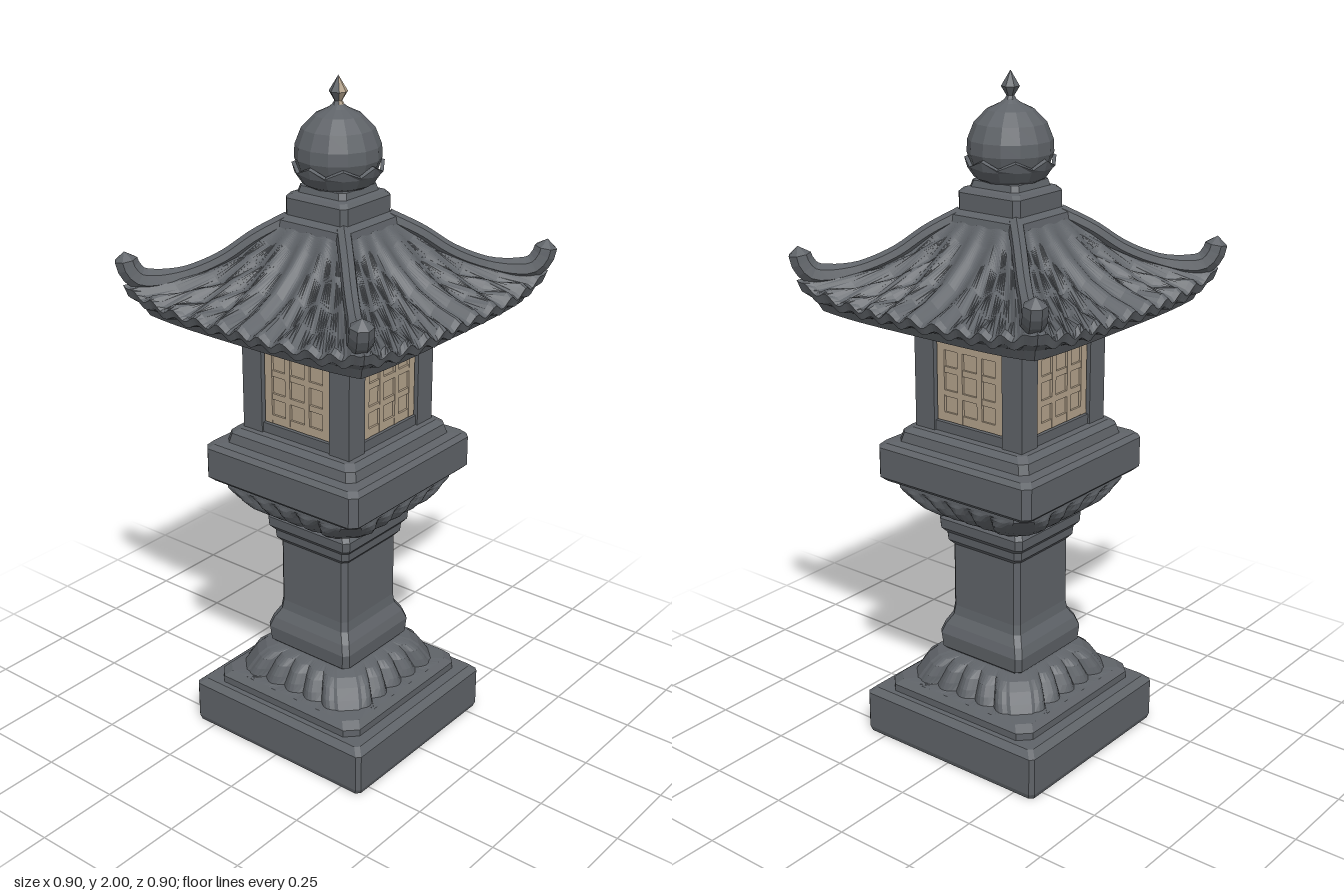
import * as THREE from 'three';

const stone = new THREE.MeshStandardMaterial({ color: 0x5f6368 });
stone.name = 'grey stone';
const paper = new THREE.MeshStandardMaterial({ color: 0xb3a28b });
paper.name = 'tan window';

// Faceted mesh with one normal per face
function part(name, geometry, material = stone) {
  const g = geometry.index ? geometry.toNonIndexed() : geometry;
  g.computeVertexNormals();
  const mesh = new THREE.Mesh(g, material);
  mesh.name = name;
  return mesh;
}

function box(name, w, h, d, x, y, z, material) {
  const mesh = part(name, new THREE.BoxGeometry(w, h, d), material);
  mesh.position.set(x, y, z);
  return mesh;
}

// Square loft. Each row: [half width, y, outward ripple, upward ripple, corner lift]
function squareLoft(rows, { chamfer = 0.012, segs = 1, wave = () => 0, zScale = 1 } = {}) {
  const pos = [], index = [], ring = 4 * (segs + 1);
  for (const [h, y, out = 0, up = 0, lift = 0] of rows) {
    const c = Math.min(chamfer, h * 0.3);
    for (let s = 0; s < 4; s++) {
      for (let i = 0; i <= segs; i++) {
        const t = (i / segs) * 2 - 1;
        let x = t * (h - c);
        const w = wave(x, t, s);
        let z = h + out * w;
        for (let k = 0; k < s; k++) [x, z] = [z, -x];
        pos.push(x, y + up * w + lift * Math.pow(Math.abs(t), 4), z * zScale);
      }
    }
  }
  for (let j = 0; j < rows.length - 1; j++) {
    for (let i = 0; i < ring; i++) {
      const a = j * ring + i, b = j * ring + (i + 1) % ring;
      index.push(a, b, b + ring, a, b + ring, a + ring);
    }
  }
  const g = new THREE.BufferGeometry();
  g.setAttribute('position', new THREE.Float32BufferAttribute(pos, 3));
  g.setIndex(index);
  return g;
}

// Tube whose radius follows a rule along its length
function taperedTube(curve, segs, sides, radius) {
  const g = new THREE.TubeGeometry(curve, segs, 1, sides);
  const p = g.attributes.position, v = new THREE.Vector3();
  for (let i = 0; i < p.count; i++) {
    const t = Math.floor(i / (sides + 1)) / segs;
    const c = curve.getPointAt(t);
    v.fromBufferAttribute(p, i).sub(c).multiplyScalar(radius(t)).add(c);
    p.setXYZ(i, v.x, v.y, v.z);
  }
  return g;
}

const lathe = (points, sides, start, length) =>
  new THREE.LatheGeometry(points.map(p => new THREE.Vector2(...p)), sides, start, length);

export function createModel() {
  const model = new THREE.Group();
  model.name = 'stoneLantern';

  // Plinth, hollow underneath
  model.add(part('plinth', squareLoft([
    [0.001, 0.12], [0.285, 0.12], [0.3, 0], [0.315, 0], [0.32, 0.015],
    [0.32, 0.13], [0.3, 0.148], [0.2, 0.15],
  ], { zScale: 0.95 })));

  // Carved petals on the foot and under the platform
  const petals = (x, t) => (Math.abs(t) > 0.99 ? 0.4 : Math.abs(Math.cos(t * Math.PI * 2.5)));
  model.add(part('foot', squareLoft([
    [0.268, 0.145], [0.268, 0.17], [0.25, 0.187], [0.215, 0.192, 0.02], [0.203, 0.215, 0.024],
    [0.188, 0.245, 0.022], [0.172, 0.265, 0.012], [0.15, 0.275], [0.1, 0.28],
  ], { segs: 30, chamfer: 0.035, wave: petals })));

  // Shaft with moulded ends
  model.add(part('shaft', squareLoft([
    [0.135, 0.27], [0.152, 0.285], [0.156, 0.33], [0.146, 0.36], [0.129, 0.39], [0.125, 0.42],
    [0.125, 0.62], [0.138, 0.635], [0.14, 0.66], [0.153, 0.675], [0.155, 0.705], [0.145, 0.72],
  ], { chamfer: 0.015 })));

  model.add(part('petalCollar', squareLoft([
    [0.14, 0.71], [0.165, 0.722], [0.18, 0.735, 0.012], [0.205, 0.76, 0.022], [0.225, 0.785, 0.022],
    [0.242, 0.805, 0.01], [0.25, 0.815], [0.25, 0.835],
  ], { segs: 30, chamfer: 0.04, wave: petals })));

  model.add(part('platform', squareLoft([
    [0.2, 0.832], [0.265, 0.832], [0.279, 0.845], [0.279, 0.935], [0.265, 0.948], [0.235, 0.952],
    [0.228, 0.98], [0.21, 0.995], [0.1, 1.0],
  ], { chamfer: 0.02 })));

  // Lamp chamber: core, corner posts, sills, lintels and lattice windows
  model.add(box('chamberCore', 0.34, 0.34, 0.34, 0, 1.15, 0));
  for (const x of [-1, 1]) for (const z of [-1, 1]) {
    model.add(box('cornerPost', 0.07, 0.34, 0.07, x * 0.158, 1.15, z * 0.158));
  }
  for (let s = 0; s < 4; s++) {
    const side = new THREE.Group();
    side.name = 'chamberSide';
    side.rotation.y = s * Math.PI / 2;
    side.add(box('sill', 0.26, 0.04, 0.03, 0, 1.005, 0.172));
    side.add(box('lintel', 0.26, 0.06, 0.03, 0, 1.298, 0.172));
    side.add(box('windowPanel', 0.236, 0.236, 0.008, 0, 1.147, 0.172, paper));
    for (const k of [-1.5, -0.5, 0.5, 1.5]) {
      const w = Math.abs(k) > 1 ? 0.026 : 0.018;
      side.add(box('windowBar', w, 0.236, 0.009, k * 0.07, 1.147, 0.179, paper));
      side.add(box('windowBar', 0.236, w, 0.009, 0, 1.147 + k * 0.07, 0.178, paper));
    }
    model.add(side);
  }

  // Curved roof with slightly uneven tile ribs
  const tiles = (x, t, s) =>
    Math.cos(x * Math.PI * 2 / 0.077 + 0.5 * Math.sin(x * 17 + s)) * (1 - Math.pow(Math.abs(t), 12));
  model.add(part('roof', squareLoft([
    [0.15, 1.31], [0.21, 1.315], [0.3, 1.328], [0.372, 1.335, 0, 0, 0.01], [0.385, 1.362, 0, 0, 0.015],
    [0.412, 1.368, 0, 0.008, 0.035], [0.421, 1.39, 0.002, 0.011, 0.045], [0.405, 1.4, 0, 0.012, 0.04],
    [0.34, 1.42, 0, 0.012, 0.028], [0.27, 1.455, 0, 0.011, 0.018], [0.205, 1.507, 0, 0.01, 0.01],
    [0.16, 1.555, 0, 0.008, 0.005], [0.12, 1.605], [0.08, 1.62],
  ], { chamfer: 0, segs: 80, wave: tiles })));

  // Hip ridges ending in upturned horns
  const hip = new THREE.CatmullRomCurve3([
    [0.095, 1.61], [0.16, 1.562], [0.22, 1.505], [0.28, 1.468], [0.345, 1.447],
    [0.385, 1.452], [0.405, 1.485], [0.412, 1.53],
  ].map(([d, y]) => new THREE.Vector3(d, y, d * 1.02)));
  const hipRadius = t => (t === 1 ? 0 : t < 0.6 ? 0.022 : 0.022 + 0.012 * Math.sin((t - 0.6) / 0.4 * Math.PI * 0.75));
  for (let s = 0; s < 4; s++) {
    const holder = new THREE.Group();
    holder.name = 'hipRidge';
    holder.rotation.y = s * Math.PI / 2;
    holder.add(part('ridge', taperedTube(hip, 24, 7, hipRadius)));
    model.add(holder);
  }

  // Neck block above the roof
  model.add(part('neck', squareLoft([
    [0.13, 1.59], [0.125, 1.612], [0.108, 1.625], [0.108, 1.672], [0.098, 1.683],
    [0.085, 1.687], [0.08, 1.705], [0.001, 1.71],
  ], { chamfer: 0.015 })));

  // Ball finial in a petalled cup
  model.add(part('ball', lathe([
    [0.06, 1.7], [0.105, 1.735], [0.12, 1.78], [0.118, 1.815], [0.1, 1.86],
    [0.066, 1.895], [0.03, 1.912], [0.012, 1.925],
  ], 14)));
  const cup = lathe([[0.068, 1.695], [0.1, 1.712], [0.119, 1.74], [0.127, 1.768], [0.117, 1.772]], 16);
  const p = cup.attributes.position;
  for (let i = 0; i < p.count; i++) {
    if (p.getY(i) > 1.76 && Math.floor(i / 5) % 2) p.setY(i, p.getY(i) - 0.02);
  }
  model.add(part('petalCup', cup));

  // Spike, with a tan patch on its left face
  const spike = [[0.02, 1.915], [0.011, 1.932], [0.026, 1.957], [0.012, 1.98], [0, 2]];
  model.add(part('spike', lathe(spike, 5, Math.PI * 0.75, Math.PI * 1.5)));
  model.add(part('spikeTanFace', lathe(spike, 2, Math.PI * 0.25, Math.PI * 0.5), paper));

  return model;
}
